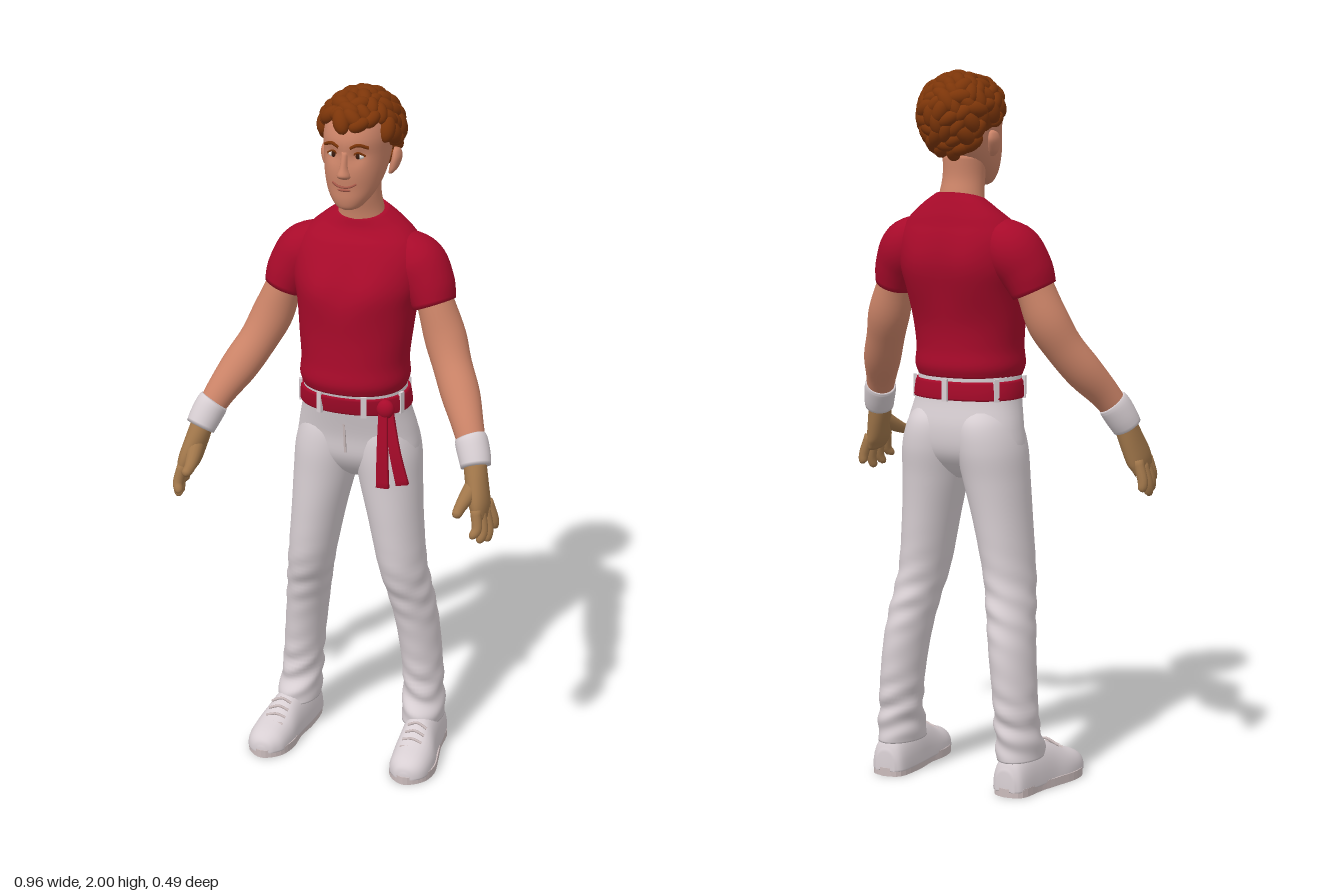
import * as THREE from 'three';
import { mergeGeometries, mergeVertices } from 'three/addons/utils/BufferGeometryUtils.js';

const paint = (name, color) => {
  const m = new THREE.MeshStandardMaterial({ color });
  m.name = name;
  return m;
};
const V = (x, y, z) => new THREE.Vector3(x, y, z);

// Skin through sections [x, y, z, radiusU, radiusV]; rings are level, or square to the path when along is set.
function loft(sections, { along = false, n = 2, seg = 28, steps = 5, shape = null } = {}) {
  const path = new THREE.CatmullRomCurve3(sections.map(s => V(s[0], s[1], s[2])), false, 'catmullrom');
  const size = new THREE.CatmullRomCurve3(sections.map(s => V(s[3], s[4], 0)), false, 'catmullrom');
  const rows = (sections.length - 1) * steps, pos = [], idx = [];
  const sup = c => Math.sign(c) * Math.abs(c) ** (2 / n);
  const put = p => { if (shape) shape(p); pos.push(p.x, p.y, p.z); };
  for (let i = 0; i <= rows; i++) {
    const c = path.getPoint(i / rows), r = size.getPoint(i / rows);
    const t = along ? path.getTangent(i / rows) : V(0, 1, 0);
    const u = V(1, 0, 0).addScaledVector(t, -t.x).normalize(), v = u.clone().cross(t);
    for (let j = 0; j < seg; j++) {
      const a = j / seg * Math.PI * 2;
      put(c.clone().addScaledVector(u, sup(Math.cos(a)) * Math.max(r.x, 0.001))
        .addScaledVector(v, sup(Math.sin(a)) * Math.max(r.y, 0.001)));
    }
  }
  for (let i = 0; i < rows; i++) for (let j = 0; j < seg; j++) {
    const a = i * seg + j, b = i * seg + (j + 1) % seg;
    idx.push(a, a + seg, b, b, a + seg, b + seg);
  }
  const s = rows * seg, e = (rows + 1) * seg;
  put(path.getPoint(0));
  put(path.getPoint(1));
  for (let j = 0; j < seg; j++) {
    const k = (j + 1) % seg;
    idx.push(e, j, k, e + 1, s + k, s + j);
  }
  const g = new THREE.BufferGeometry();
  g.setAttribute('position', new THREE.Float32BufferAttribute(pos, 3));
  g.setIndex(idx);
  g.computeVertexNormals();
  return g;
}
const ball = (x, y, z, rx, ry, rz) => new THREE.SphereGeometry(1, 20, 14).scale(rx, ry, rz).translate(x, y, z);
const tube = (pts, r, steps = 12) =>
  new THREE.TubeGeometry(new THREE.CatmullRomCurve3(pts.map(p => V(...p))), steps, r, 6);

export function createModel() {
  const root = new THREE.Group();
  const red = paint('crimson cloth', 0xa80a2a), white = paint('white cloth', 0xd8cfd3);
  const skin = paint('skin', 0xcc8468), tan = paint('tan gloves', 0xa0764a), hairMat = paint('auburn hair', 0x7c3509);
  const sole = paint('sole', 0xcbbcbc), eyeWhite = paint('eye white', 0xe6e0dc);
  const dark = paint('dark brown', 0x3a1a0c), lip = paint('lips', 0xa85a4a);

  const add = (name, geo, mat) => {
    const m = new THREE.Mesh(geo, mat);
    m.name = name;
    root.add(m);
  };
  // Left part plus its mirrored right twin
  const pair = (name, geo, mat) => {
    if (!geo.index) geo = mergeVertices(geo);
    const twin = geo.clone().scale(-1, 1, 1), ix = twin.index;
    for (let i = 0; i < ix.count; i += 3) {
      const a = ix.getX(i);
      ix.setX(i, ix.getX(i + 1));
      ix.setX(i + 1, a);
    }
    add(name + 'Left', geo, mat);
    add(name + 'Right', twin, mat);
  };

  // Shirt: chest and shoulder blades swell, the collar is higher at the back
  const bump = (p, x, y, w) => Math.exp(-(((Math.abs(p.x) - x) / w) ** 2) - ((p.y - y) / w) ** 2);
  add('shirt', loft([
    [0, 1.16, -.06, .147, .127], [0, 1.19, -.06, .156, .136], [0, 1.24, -.061, .153, .131], [0, 1.31, -.066, .16, .132],
    [0, 1.4, -.08, .17, .145], [0, 1.47, -.092, .188, .137], [0, 1.54, -.104, .187, .118], [0, 1.59, -.112, .158, .094],
    [0, 1.63, -.113, .108, .072], [0, 1.655, -.112, .07, .062]
  ], {
    n: 2.2, seg: 48, shape: p => {
      if (p.z > -.04) p.z += .014 * bump(p, .075, 1.46, .06);
      if (p.z < -.12) p.z -= .012 * bump(p, .085, 1.48, .07) - .01 * bump(p, 0, 1.4, .06);
      if (p.y > 1.58) p.y -= (p.z + .112) * .25 * Math.min(1, (p.y - 1.58) / .05);
    }
  }), red);
  pair('sleeve', loft([[.1, 1.565, -.115, .05, .06], [.16, 1.515, -.112, .08, .085], [.2, 1.46, -.1, .074, .08],
    [.222, 1.405, -.09, .06, .072]], { along: true }), red);

  // Arms
  pair('arm', loft([[.2, 1.47, -.1, .05, .058], [.228, 1.4, -.09, .052, .059], [.258, 1.32, -.078, .059, .06],
    [.29, 1.25, -.048, .055, .054], [.33, 1.18, -.005, .054, .052], [.368, 1.115, .045, .044, .043], [.4, 1.05, .085, .036, .036]],
    { along: true }), skin);
  pair('wristband', loft([[.381, 1.09, .064, .043, .043], [.388, 1.078, .071, .046, .046], [.402, 1.045, .087, .045, .045],
    [.411, 1.02, .1, .042, .042]], { along: true, steps: 3 }), white);
  pair('palm', loft([[.406, 1.03, .095, .032, .033], [.42, .975, .115, .031, .045], [.434, .925, .132, .028, .052],
    [.445, .89, .138, .016, .045]], { along: true }), tan);
  const fingers = [[.436, .905, .177, .438, .852, .202], [.443, .897, .153, .45, .83, .174],
    [.446, .897, .126, .46, .822, .14], [.446, .905, .1, .465, .84, .092]];
  for (const [x, y, z, a, b, c] of fingers)
    pair('finger', loft([[x, y + .02, z, .015, .015], [(x + a) / 2 + .008, (y + b) / 2, (z + c) / 2, .0145, .0145],
      [a, b + .008, c, .012, .012], [a - .001, b, c, .004, .004]], { along: true, seg: 12, steps: 4 }), tan);
  pair('thumb', loft([[.415, .98, .12, .024, .024], [.406, .955, .165, .021, .021], [.4, .938, .205, .016, .016],
    [.4, .93, .232, .013, .013], [.4, .927, .24, .004, .004]], { along: true, seg: 14 }), tan);

  // Trousers
  add('trouserSeat', loft([[0, .87, -.085, .06, .03], [0, .9, -.085, .14, .07], [0, .95, -.088, .18, .104],
    [0, 1.02, -.087, .174, .113], [0, 1.1, -.07, .155, .116], [0, 1.172, -.061, .146, .126]], { n: 2.2, seg: 40 }), white);
  const fold = p => {
    const k = Math.exp(-(((p.y - .2) / .09) ** 2)) + .6 * Math.exp(-(((p.y - .52) / .1) ** 2));
    p.z += .006 * k * Math.sin(p.y * 95 + p.x * 40);
    p.x += .003 * k * Math.sin(p.y * 80 + p.z * 30);
  };
  pair('trouserLeg', loft([[.197, .095, -.115, .06, .088], [.196, .13, -.117, .062, .086], [.193, .18, -.128, .059, .074],
    [.186, .28, -.13, .059, .076], [.173, .4, -.122, .061, .083], [.158, .5, -.103, .064, .086], [.14, .6, -.08, .068, .091],
    [.118, .75, -.079, .078, .099], [.1, .87, -.084, .09, .107], [.088, .96, -.09, .096, .115], [.08, 1.03, -.092, .084, .108],
    [.075, 1.08, -.088, .06, .08]], { seg: 36, steps: 8, shape: fold }), white);
  add('fly', new THREE.BoxGeometry(.006, .12, .006).rotateX(.12).translate(0, 1.03, .029), sole);

  // Belt with loops and hanging sash
  add('belt', loft([[0, 1.098, -.07, .157, .12], [0, 1.104, -.07, .162, .125], [0, 1.144, -.064, .157, .13],
    [0, 1.15, -.063, .152, .127]], { n: 2.2, seg: 48, steps: 2 }), red);
  for (const deg of [20, 66, 114, 160, 215, 270, 325]) {
    const a = deg * Math.PI / 180;
    add('beltLoop', new THREE.BoxGeometry(.016, .062, .009).rotateY(Math.PI / 2 - a)
      .translate(.161 * Math.cos(a), 1.127, -.067 + .131 * Math.sin(a)), white);
  }
  add('sashKnot', ball(.122, 1.122, .03, .026, .028, .02), red);
  const sash = [[[.118, 1.12, .036], [.12, 1, .047], [.121, .89, .047]], [[.13, 1.12, .026], [.152, 1, .034], [.174, .9, .03]]];
  for (const pts of sash)
    add('sashTail', loft(pts.map((p, i) => [...p, .013 + i * .003, .007]), { along: true, n: 6, steps: 6 }), red);

  // Shoes
  pair('shoe', loft([[.198, .02, -.208, .03, .05], [.199, .02, -.185, .05, .09], [.203, .02, -.11, .056, .115],
    [.211, .02, -.03, .058, .105], [.22, .02, .04, .064, .072], [.223, .02, .1, .057, .053], [.223, .02, .13, .035, .034],
    [.223, .02, .139, .01, .012]], { along: true, n: 2.3, shape: p => { p.y = Math.max(p.y, .015); } }), white);
  const outline = [[.2, -.212], [.155, -.19], [.148, -.1], [.157, -.02], [.154, .05], [.172, .11], [.222, .143], [.272, .11],
    [.288, .05], [.274, -.03], [.259, -.1], [.248, -.19]];
  const curve = new THREE.SplineCurve([...outline, outline[0]].map(([x, z]) => new THREE.Vector2(x, -z)));
  pair('sole', new THREE.ExtrudeGeometry(new THREE.Shape(curve.getPoints(48)), { depth: .024, bevelEnabled: false })
    .rotateX(-Math.PI / 2), sole);
  for (let i = 0; i < 4; i++)
    pair('lace', tube([[.185, .112 - i * .012, -.008 + i * .023], [.214, .124 - i * .0145, -.008 + i * .023],
      [.245, .112 - i * .012, -.004 + i * .023]], .004), sole);

  // Neck and head
  add('neck', loft([[0, 1.61, -.112, .075, .06], [0, 1.66, -.107, .064, .06], [0, 1.71, -.095, .059, .06],
    [0, 1.77, -.09, .06, .065]]), skin);
  add('head', loft([[0, 1.683, -.004, .018, .018], [0, 1.692, -.011, .036, .037], [0, 1.715, -.026, .056, .058],
    [0, 1.745, -.045, .072, .078], [0, 1.785, -.066, .083, .102], [0, 1.835, -.082, .089, .114], [0, 1.885, -.087, .091, .117],
    [0, 1.935, -.095, .078, .098], [0, 1.97, -.1, .04, .05]], {
    n: 2.15, seg: 48, shape: p => {
      if (p.z > -.02) p.z -= .009 * bump(p, .036, 1.838, .02); // eye sockets
    }
  }), skin);
  add('nose', loft([[0, 1.773, .027, .008, .006], [0, 1.779, .03, .018, .016], [0, 1.788, .03, .019, .025],
    [0, 1.81, .028, .012, .019], [0, 1.85, .025, .009, .009]], { seg: 18 }), skin);
  pair('ear', loft([[.09, 1.768, -.092, .006, .008], [.097, 1.783, -.098, .012, .018], [.103, 1.81, -.106, .013, .026],
    [.102, 1.83, -.108, .009, .02], [.098, 1.838, -.108, .003, .006]], { seg: 16 }), skin);
  pair('eyeWhite', ball(.036, 1.838, .013, .0155, .0085, .008), eyeWhite);
  pair('iris', ball(.035, 1.838, .0185, .0065, .0075, .004), dark);
  pair('upperLid', tube([[.019, 1.839, .019], [.036, 1.849, .021], [.054, 1.839, .011]], .003), hairMat);
  pair('eyebrow', tube([[.016, 1.862, .028], [.037, 1.871, .025], [.062, 1.862, .009]], .005), hairMat);
  add('mouth', tube([[-.034, 1.763, .027], [-.017, 1.755, .034], [0, 1.753, .036], [.017, 1.755, .034], [.034, 1.763, .027]], .0035, 20), lip);
  add('lowerLip', ball(0, 1.744, .029, .02, .005, .007), lip);

  // Hair: a cap covered with overlapping curls
  let seed = 7;
  const rnd = () => (seed = (seed * 16807) % 2147483647) / 2147483647;
  const curls = [ball(0, 1.888, -.115, .104, .094, .113)];
  const total = 150;
  for (let i = 0; i < total; i++) {
    const y = 1 - 2 * (i + .5) / total, r = Math.sqrt(1 - y * y), a = i * 2.39996;
    const d = V(r * Math.cos(a), y, r * Math.sin(a));
    const floor = d.z > .4 ? .36 : d.z > -.2 ? -.22 : -.85;
    if (d.y < floor || (d.y < -.4 && d.z > -.35)) continue;
    const q = new THREE.Quaternion().setFromUnitVectors(V(0, 1, 0), d)
      .multiply(new THREE.Quaternion().setFromAxisAngle(V(0, 1, 0), rnd() * 6.28));
    const k = .85 + rnd() * .3;
    curls.push(new THREE.SphereGeometry(1, 14, 10).scale(.034 * k, .021 * k, .021 * k).applyQuaternion(q)
      .translate(d.x * .1, 1.886 + d.y * (d.y < 0 ? .128 : .092), -.112 + d.z * (d.z > 0 ? .142 : .113)));
  }
  add('hair', mergeGeometries(curls), hairMat);
  return root;
}
